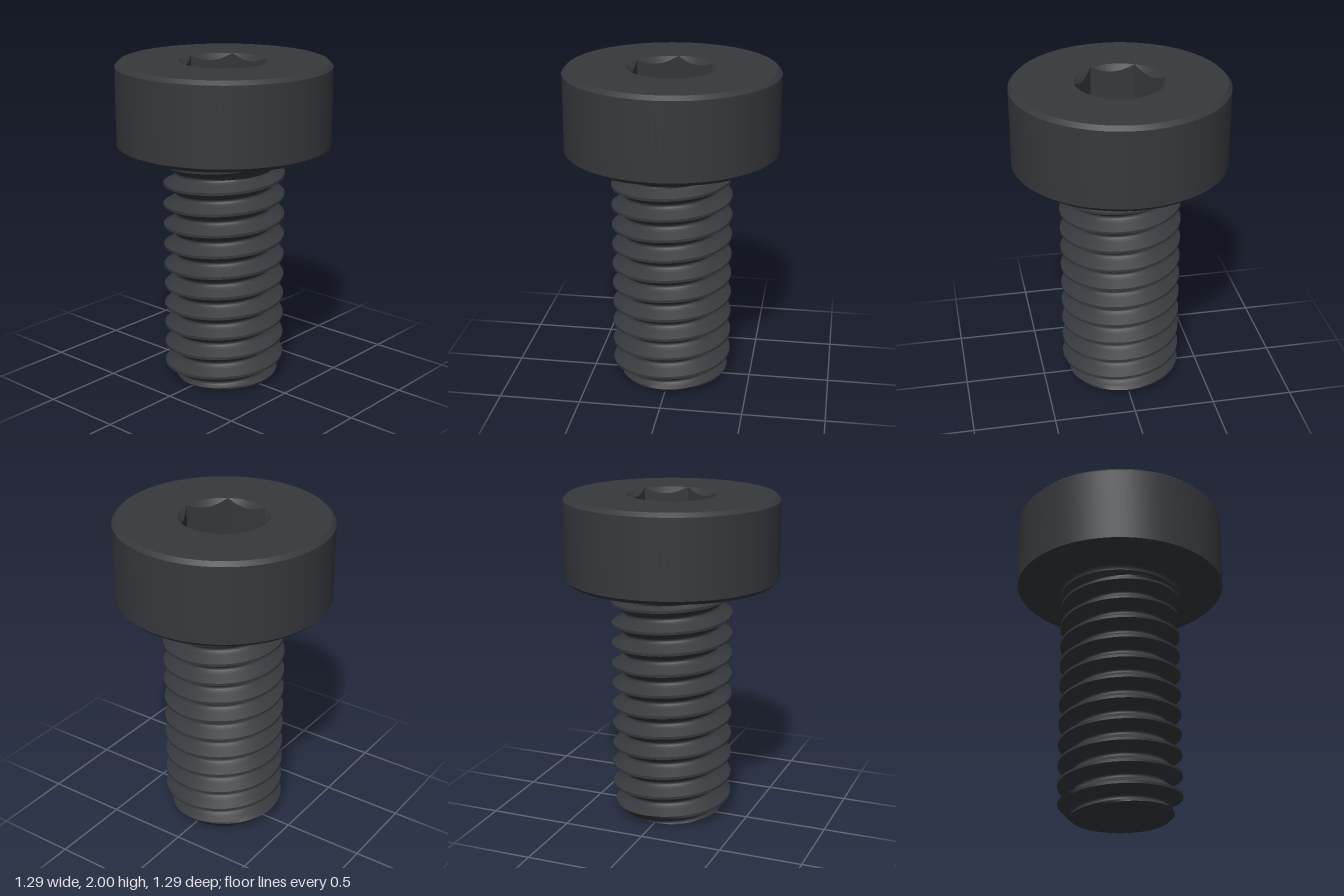
import * as THREE from 'three';
import { toCreasedNormals } from 'three/addons/utils/BufferGeometryUtils.js';

const COLS = 96;
const PITCH = 0.1296;
const CREST_R = 0.37, CREST_Y = 0.135; // crest radius, crest height at +x
const NECK_Y = 1.445, HEAD_Y = 1.483, TOP_Y = 2;
const HEX_IN = 0.2325, RIM_R = 0.2675, FLOOR_Y = 1.57;

// Smooth surfaces with sharp edges; scaled up so fine detail keeps its own normals
function crease(geometry, angle = 0.5) {
  geometry.scale(100, 100, 100);
  return toCreasedNormals(geometry, angle).scale(0.01, 0.01, 0.01);
}

// Surface around the y axis: at(angle, row) gives [radius, y]
function ringSurface(rows, at) {
  const pos = [];
  const round = (v) => Math.round(v * 1e5) / 1e5;
  const point = (i, j) => {
    const [r, y] = at((i / COLS) * Math.PI * 2, j);
    const t = ((i % COLS) / COLS) * Math.PI * 2;
    return new THREE.Vector3(round(r * Math.cos(t)), round(y), round(-r * Math.sin(t)));
  };
  const triangle = (a, b, c) => {
    if (a.equals(b) || b.equals(c) || c.equals(a)) return;
    for (const p of [a, b, c]) pos.push(p.x, p.y, p.z);
  };
  for (let i = 0; i < COLS; i++) {
    for (let j = 0; j < rows - 1; j++) {
      const a = point(i, j), b = point(i + 1, j), c = point(i + 1, j + 1), d = point(i, j + 1);
      triangle(a, b, c);
      triangle(a, c, d);
    }
  }
  const geometry = new THREE.BufferGeometry();
  geometry.setAttribute('position', new THREE.Float32BufferAttribute(pos, 3));
  return crease(geometry);
}

// Thread radius: flat crest, 60 degree flanks, rounded root,
// limited by the tip chamfer and filled by the run-out under the head
function threadRadius(t, y) {
  const u = (y - CREST_Y) / PITCH - t / (Math.PI * 2);
  const d = Math.abs(u - Math.round(u));
  let r = CREST_R;
  if (d > 0.375) r = 0.29 + 0.01 * ((0.5 - d) / 0.125) ** 2;
  else if (d > 0.0625) r = CREST_R - (0.07 * (d - 0.0625)) / 0.3125;
  r = Math.max(r, CREST_R - 0.8 * (NECK_Y - y));
  return Math.min(r, 0.295 + y);
}

function threadedShank() {
  // Rows follow the helix, so the crest edges stay crisp
  const half = [0.0625, 0.14, 0.22, 0.3, 0.375, 0.42, 0.46];
  const steps = [...half, 0.5, ...half.map((d) => 1 - d).reverse()];
  const n = steps.length;
  return ringSurface(n * 14, (t, j) => {
    const turns = Math.floor(j / n) - 3 + steps[j % n] + t / (Math.PI * 2);
    const y = THREE.MathUtils.clamp(CREST_Y + PITCH * turns, 0, NECK_Y);
    return [threadRadius(t, y), y];
  });
}

function hexSocket() {
  const side = Math.PI / 3;
  return ringSurface(4, (t, j) => {
    // Flats face +z and -z, corners lie on the x axis
    const r = HEX_IN / Math.cos((t % side) - side / 2);
    if (j === 0) return [RIM_R, TOP_Y];
    if (j === 1) return [Math.min(r, RIM_R), TOP_Y - Math.max(0, RIM_R - r)];
    return [j === 2 ? Math.min(r, RIM_R) : 0, FLOOR_Y];
  });
}

function lathe(points) {
  return crease(new THREE.LatheGeometry(points.map(([x, y]) => new THREE.Vector2(x, y)), COLS));
}

export function createModel() {
  const bolt = new THREE.Group();
  bolt.name = 'socketHeadBolt';
  const material = new THREE.MeshStandardMaterial({ color: 0x36393d });
  const add = (name, geometry) => {
    const mesh = new THREE.Mesh(geometry, material);
    mesh.name = name;
    bolt.add(mesh);
  };

  // Threaded shank and its flat tip
  add('threadedShank', threadedShank());
  add('tip', ringSurface(2, (t, j) => [j ? threadRadius(t, 0) : 0, 0]));

  // Rounded neck under the head
  const neck = [];
  for (let i = 0; i <= 8; i++) {
    const a = (i / 8) * Math.PI / 2;
    neck.push([CREST_R + 0.038 * (1 - Math.cos(a)), NECK_Y + 0.038 * Math.sin(a)]);
  }
  add('neckFillet', lathe(neck));

  // Chamfered cylindrical head, open for the socket
  const R = 0.647, c = 0.024;
  add('head', lathe([
    [0.408, HEAD_Y], [R - c, HEAD_Y], [R, HEAD_Y + c],
    [R, TOP_Y - c], [R - c, TOP_Y], [RIM_R, TOP_Y],
  ]));

  // Countersunk hexagonal socket
  add('hexSocket', hexSocket());
  return bolt;
}
